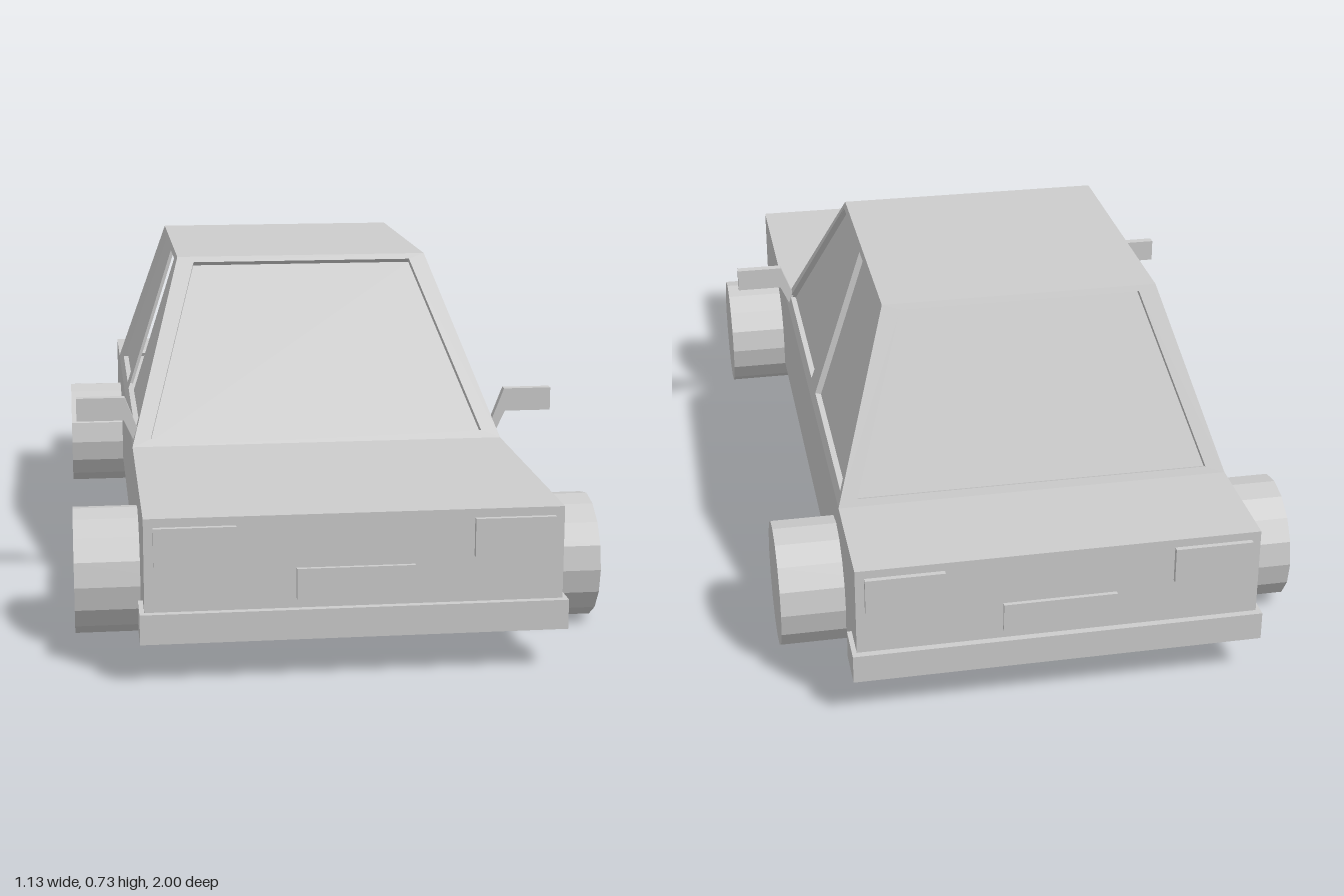
import * as THREE from 'three';

const BASE = 0.34, ROOF = 0.727, RISE = ROOF - BASE, RECESS = 0.014;

export function createModel() {
  const car = new THREE.Group();
  car.name = 'car';
  const paint = new THREE.MeshStandardMaterial({ color: 0xcccccc });
  paint.name = 'light grey';

  const add = (name, geometry) => {
    const mesh = new THREE.Mesh(geometry, paint);
    mesh.name = name;
    car.add(mesh);
    return mesh;
  };
  // box from its lower and upper limits on each axis
  const box = (name, [x0, x1], [y0, y1], [z0, z1]) => {
    add(name, new THREE.BoxGeometry(x1 - x0, y1 - y0, z1 - z0))
      .position.set((x0 + x1) / 2, (y0 + y1) / 2, (z0 + z1) / 2);
  };

  // lower body
  box('body', [-0.425, 0.425], [0.09, BASE], [-0.985, 0.985]);

  // bumpers, lights and number plates at both ends
  for (const [end, s] of [['front', 1], ['rear', -1]]) {
    const span = (a, b) => (s > 0 ? [a, b] : [-b, -a]);
    box(end + 'Bumper', [-0.435, 0.435], [0.085, 0.147], span(0.905, 1));
    box(end + 'Plate', [-0.12, 0.12], [0.167, 0.23], span(0.98, 0.994));
    box(end + 'LeftLight', [0.241, 0.406], [0.243, 0.322], span(0.98, 0.996));
    box(end + 'RightLight', [-0.406, -0.241], [0.243, 0.322], span(0.98, 0.996));
  }

  // one sloping cabin wall with recessed windows; outlines are [along, height]
  const wall = (name, origin, u, lean, outline, windows) => {
    const stretch = Math.hypot(RISE, lean.length()) / RISE;
    const v = new THREE.Vector3(0, RISE, 0).add(lean).normalize();
    // keep the frame square: remove any part of the lean along u
    const n = new THREE.Vector3().crossVectors(u, v).normalize();
    const flat = pts => pts.map(([a, y]) => new THREE.Vector2(a, (y - BASE) * stretch));
    const frame = new THREE.Shape(flat(outline));
    frame.holes = windows.map(w => new THREE.Path(flat(w)));
    const matrix = new THREE.Matrix4().makeBasis(u, v, n)
      .setPosition(origin.clone().addScaledVector(n, -RECESS));
    add(name + 'Frame', new THREE.ExtrudeGeometry(frame, { depth: RECESS, bevelEnabled: false })
      .applyMatrix4(matrix));
    windows.forEach(w => add(name + 'Window',
      new THREE.ShapeGeometry(new THREE.Shape(flat(w))).applyMatrix4(matrix)));
  };
  const V = (x, y, z) => new THREE.Vector3(x, y, z);

  const endOutline = [[-0.425, BASE], [0.425, BASE], [0.3, ROOF], [-0.3, ROOF]];
  const endWindow = [[-0.383, 0.355], [0.383, 0.355], [0.262, 0.715], [-0.262, 0.715]];
  wall('windscreen', V(0, BASE, 0.38), V(1, 0, 0), V(0, 0, -0.33), endOutline, [endWindow]);
  wall('rearScreen', V(0, BASE, -0.73), V(-1, 0, 0), V(0, 0, 0.17), endOutline, [endWindow]);

  // side walls, written as [z, height]
  const sideOutline = [[0.38, BASE], [-0.73, BASE], [-0.56, ROOF], [0.05, ROOF]];
  const sideWindows = [
    [[0.33, 0.365], [-0.155, 0.365], [-0.17, 0.714], [0.045, 0.714]],
    [[-0.233, 0.365], [-0.7, 0.365], [-0.553, 0.714], [-0.233, 0.714]],
  ];
  for (const [side, s] of [['left', 1], ['right', -1]]) {
    const along = pts => pts.map(([z, y]) => [-s * z, y]);
    wall(side + 'Cabin', V(s * 0.425, BASE, 0), V(0, 0, -s), V(-s * 0.125, 0, 0),
      along(sideOutline), sideWindows.map(along));

    // door mirror on a slanted arm
    const mirror = [[0.42, 0.345], [0.443, 0.395], [0.55, 0.395], [0.55, 0.448], [0.44, 0.448], [0.41, 0.37]];
    const shape = new THREE.Shape(mirror.map(([x, y]) => new THREE.Vector2(s * x, y)));
    add(side + 'Mirror', new THREE.ExtrudeGeometry(shape, { depth: 0.02, bevelEnabled: false }))
      .position.z = 0.325;

    // faceted wheels
    for (const [end, z] of [['Front', 0.64], ['Rear', -0.674]]) {
      const wheel = new THREE.CylinderGeometry(0.136, 0.136, 0.268, 16).toNonIndexed();
      wheel.computeVertexNormals();
      wheel.rotateZ(Math.PI / 2);
      add(side + end + 'Wheel', wheel).position.set(s * 0.429, 0.136, z);
    }
  }

  // roof panel
  add('roof', new THREE.PlaneGeometry(0.6, 0.61).rotateX(-Math.PI / 2))
    .position.set(0, ROOF, -0.255);

  return car;
}
